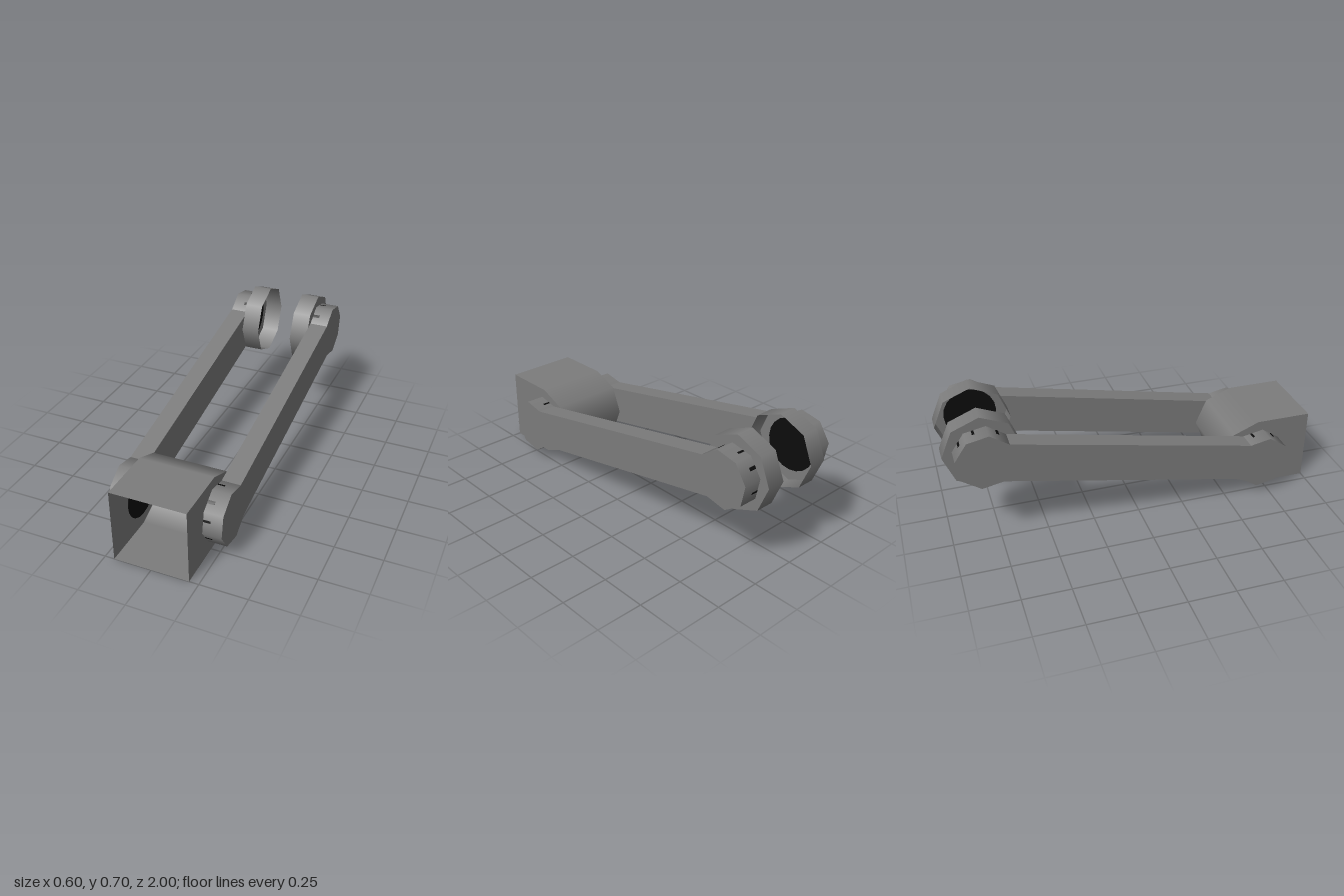
import * as THREE from 'three';
import { mergeGeometries } from 'three/addons/utils/BufferGeometryUtils.js';

const grey = new THREE.MeshStandardMaterial({ color: 0x7c7c7c, side: THREE.DoubleSide });
grey.name = 'grey metal';
const black = new THREE.MeshStandardMaterial({ color: 0x0c0c0c, side: THREE.DoubleSide });
black.name = 'black pin';

const PI = Math.PI;
const BLOCK_PIVOT = { y: 0.2, z: 0.7 };
const DRUM_PIVOT = { y: 0.5, z: -0.8 };

// Smooth-shaded faceted band around the x axis
function band(r, width, segs = 8, start = 0, length = 2 * PI) {
  return new THREE.CylinderGeometry(r, r, width, segs, 1, true, start, length).rotateZ(-PI / 2);
}

// Flat face in the z-y plane at a given x, facing along the sign of x
function face(points, x) {
  const g = new THREE.ShapeGeometry(new THREE.Shape(points.map(([z, y]) => new THREE.Vector2(x > 0 ? -z : z, y))));
  return g.rotateY(x > 0 ? PI / 2 : -PI / 2).translate(x, 0, 0);
}

// Arc points as [z, y], in steps of 45 degrees
function arc(r, from, count, cz = 0) {
  return Array.from({ length: count }, (_, i) => {
    const a = (from + i) * PI / 4;
    return [cz + r * Math.cos(a), r * Math.sin(a)];
  });
}

// Horizontal strip facing up (or down)
function strip(width, length, y, z, up) {
  return new THREE.PlaneGeometry(width, length).rotateX(up ? -PI / 2 : PI / 2).translate(0, y, z);
}

function part(name, geometries, material = grey) {
  const mesh = new THREE.Mesh(mergeGeometries(geometries), material);
  mesh.name = name;
  return mesh;
}

export function createModel() {
  const model = new THREE.Group();
  model.name = 'linkage';

  // Hollow bracket: rounded back, open front
  const outline = [...arc(0.2, 2, 5), [0.3, -0.2], [0.3, 0.2]];
  const bracket = part('bracket', [
    band(0.2, 0.4, 4, PI / 2, PI),
    strip(0.4, 0.3, 0.2, 0.15, true),
    strip(0.4, 0.3, -0.2, 0.15, false),
    face(outline, 0.2),
    face(outline, -0.2),
  ]);
  bracket.position.set(0, BLOCK_PIVOT.y, BLOCK_PIVOT.z);
  model.add(bracket);

  // Arm measurements
  const dy = DRUM_PIVOT.y - BLOCK_PIVOT.y;
  const dz = BLOCK_PIVOT.z - DRUM_PIVOT.z;
  const half = Math.hypot(dy, dz) / 2;
  const r = 0.15;
  const h = r * Math.SQRT1_2;
  const armOutline = [...arc(r, -3, 7, half), ...arc(r, 1, 7, -half)];

  for (const [side, s] of [['left', 1], ['right', -1]]) {
    // Sloping arm with an eight-sided knuckle at each end
    const arm = part(side + 'Arm', [
      band(r, 0.1, 6, -3 * PI / 4, 1.5 * PI).translate(0, 0, half),
      band(r, 0.1, 6, PI / 4, 1.5 * PI).translate(0, 0, -half),
      strip(0.1, 2 * (half - h), h, 0, true),
      strip(0.1, 2 * (half - h), -h, 0, false),
      face(armOutline, 0.05),
      face(armOutline, -0.05),
    ]);
    arm.position.set(s * 0.25, (BLOCK_PIVOT.y + DRUM_PIVOT.y) / 2, (BLOCK_PIVOT.z + DRUM_PIVOT.z) / 2);
    arm.rotation.x = Math.atan2(dy, dz);
    model.add(arm);

    // Open drum with its wall against the arm
    const drum = part(side + 'Drum', [band(0.2, 0.1), face(arc(0.2, 0, 8), s * 0.05)]);
    drum.position.set(s * 0.15, DRUM_PIVOT.y, DRUM_PIVOT.z);
    model.add(drum);

    // Black pin ends showing inside the bracket and the drum
    for (const [where, p] of [['Bracket', BLOCK_PIVOT], ['Drum', DRUM_PIVOT]]) {
      const pin = part(side + where + 'Pin', [new THREE.CylinderGeometry(0.14, 0.14, 0.04, 20).rotateZ(-PI / 2)], black);
      pin.position.set(s * 0.218, p.y, p.z);
      model.add(pin);
    }
  }
  return model;
}
